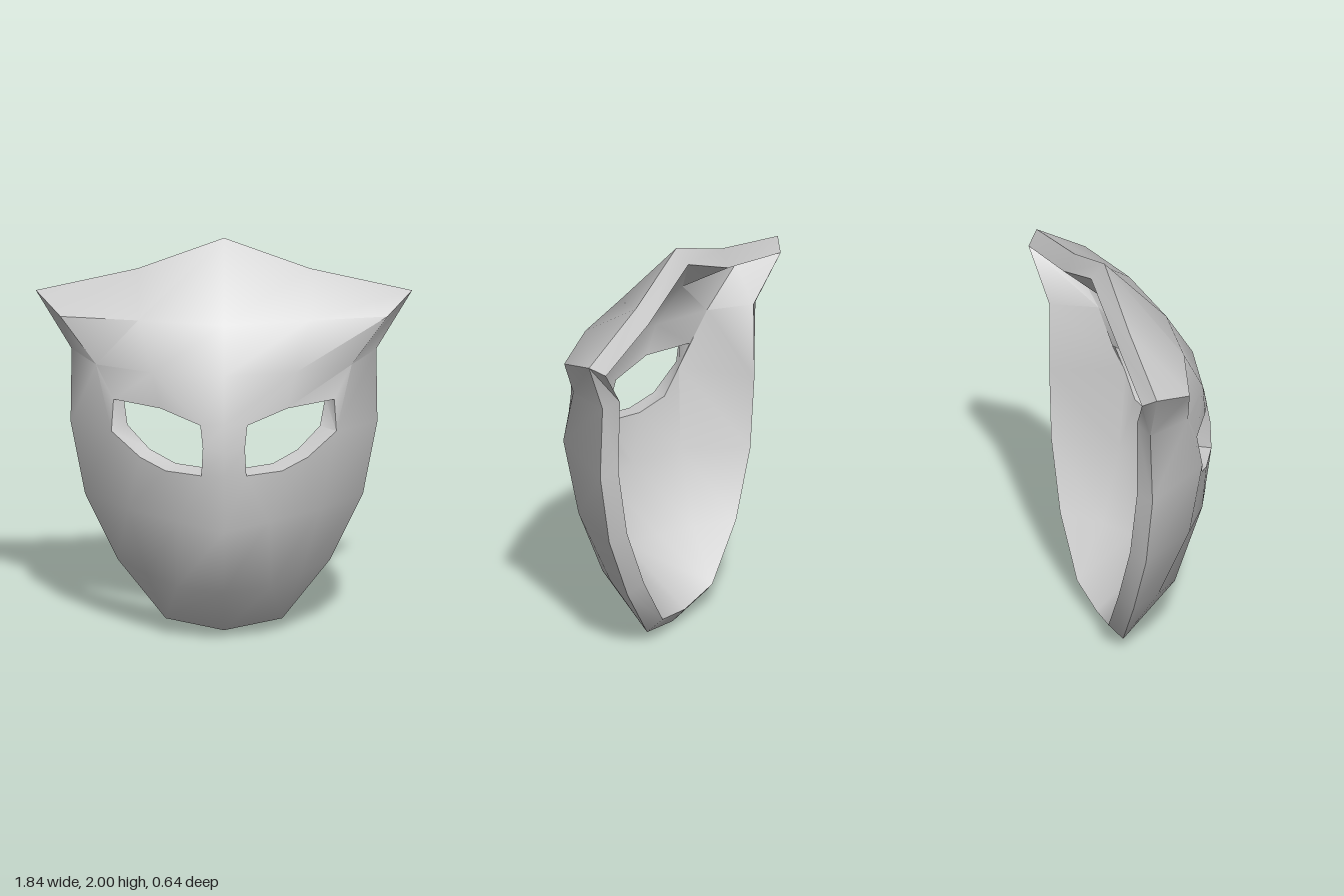
import * as THREE from 'three';
import { toCreasedNormals } from 'three/addons/utils/BufferGeometryUtils.js';

const THICKNESS = 0.1;

// Key points of the left half of the outer surface
const POINTS = {
  // centre line, brow to chin
  c0: [0, 2, -0.22], c1: [0, 1.65, 0.1], c2: [0, 1.43, 0.235], c3: [0, 1.2, 0.295], c4: [0, 1.06, 0.315],
  c5: [0, 0.94, 0.31], c6: [0, 0.65, 0.3], c7: [0, 0.3, 0.155], c8: [0, 0, -0.2],
  // outline, top to bottom
  o0: [0.42, 1.84, -0.235], tip: [0.92, 1.72, -0.26], notch: [0.745, 1.43, -0.235], o3: [0.75, 1.06, -0.225],
  o4: [0.68, 0.69, -0.235], o5: [0.52, 0.35, -0.245], o6: [0.285, 0.055, -0.22],
  // forehead and horn
  a: [0.42, 1.66, 0.05], b: [0.35, 1.43, 0.17], h: [0.8, 1.65, -0.05], f: [0.625, 1.42, 0],
  // eye opening
  e1: [0.54, 1.265, 0.075], e2: [0.31, 1.255, 0.195], e3: [0.115, 1.19, 0.27], e4: [0.103, 1.08, 0.292],
  e5: [0.11, 0.94, 0.295], e6: [0.285, 0.94, 0.21], e7: [0.41, 0.99, 0.145], e8: [0.55, 1.11, 0.1],
  // cheek and jaw
  m1: [0.22, 0.68, 0.21], m2: [0.47, 0.7, 0.06], n1: [0.23, 0.3, 0.065], n2: [0.38, 0.33, -0.07],
};

// Faces of the left half, counter-clockwise from the front
const FACES = [
  'c1 a o0 c0', 'a h tip o0', 'c2 b a c1', 'b f h a', 'f notch tip h', // forehead and horn
  'c3 e3 b c2', 'e3 e2 b', 'e2 e1 f b', 'e8 o3 notch f', 'e8 f e1', // brow and temple
  'c4 e4 e3 c3', 'c5 e5 e4 c4', // nose bridge
  'c6 m1 e5 c5', 'm1 e6 e5', 'm1 m2 e7 e6', 'm2 o4 o3 e8', 'm2 e8 e7', // cheek
  'c7 n1 m1 c6', 'n1 n2 m2 m1', 'n2 o5 o4 m2', // jaw
  'c8 o6 n1 c7', 'o6 n2 n1', 'o6 o5 n2', // chin
];

function buildShell() {
  const positions = [];
  const left = {}, right = {};
  const add = (x, y, z) => positions.push(x, y, z) / 3 - 1;
  for (const [name, [x, y, z]] of Object.entries(POINTS)) {
    left[name] = add(x, y, z);
    right[name] = x === 0 ? left[name] : add(-x, y, z);
  }

  // both halves of the outer surface
  const faces = [];
  for (const face of FACES) {
    const names = face.split(' ');
    faces.push(names.map((n) => left[n]));
    faces.push(names.map((n) => right[n]).reverse());
  }
  const fan = (loop) => loop.slice(2).flatMap((v, i) => [loop[0], loop[i + 1], v]);
  const index = faces.flatMap(fan);

  // inner surface, pushed in along the normals
  const outer = new THREE.BufferGeometry();
  outer.setAttribute('position', new THREE.Float32BufferAttribute(positions, 3));
  outer.setIndex(index);
  outer.computeVertexNormals();
  const normals = outer.attributes.normal.array;
  const count = positions.length / 3;
  const all = [...positions, ...positions.map((p, i) => p - normals[i] * THICKNESS)];
  const inner = [];
  for (let i = 0; i < index.length; i += 3) {
    inner.push(index[i] + count, index[i + 2] + count, index[i + 1] + count);
  }

  // walls along the open edges: outline and eye openings
  const edges = new Set();
  const eachEdge = (fn) => faces.forEach((l) => l.forEach((v, i) => fn(v, l[(i + 1) % l.length])));
  eachEdge((p, q) => edges.add(`${p},${q}`));
  const walls = [];
  eachEdge((p, q) => {
    if (!edges.has(`${q},${p}`)) walls.push(...fan([q, p, p + count, q + count]));
  });

  const shell = new THREE.BufferGeometry();
  shell.setAttribute('position', new THREE.Float32BufferAttribute(all, 3));
  shell.setIndex([...index, ...inner, ...walls]);
  return toCreasedNormals(shell, THREE.MathUtils.degToRad(50));
}

export function createModel() {
  const model = new THREE.Group();
  model.name = 'mask';
  const shell = new THREE.Mesh(buildShell(), new THREE.MeshStandardMaterial({ color: 0xcccccc }));
  shell.name = 'maskShell';
  model.add(shell);
  return model;
}
